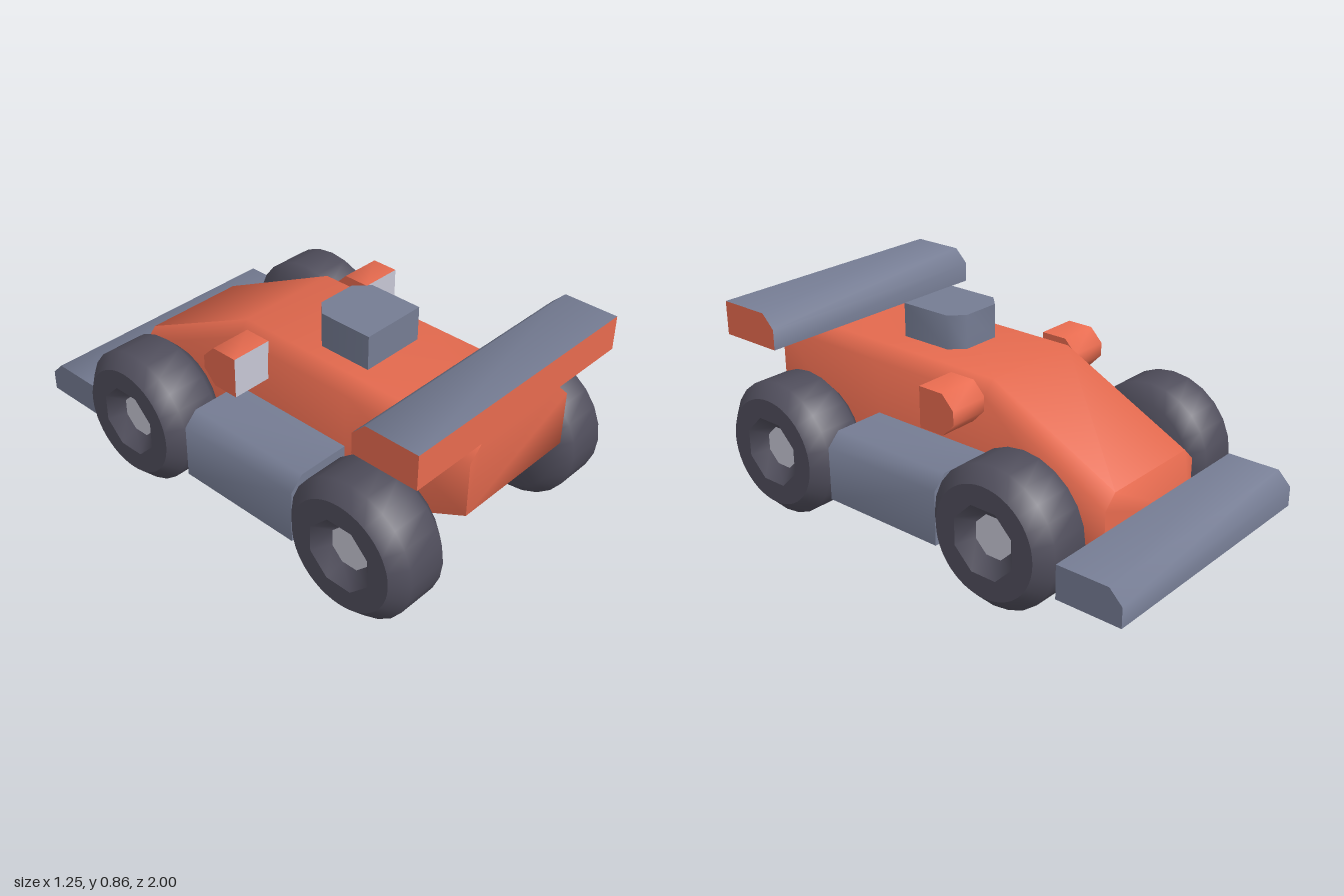
import * as THREE from 'three';
import { toCreasedNormals } from 'three/addons/utils/BufferGeometryUtils.js';

export function createModel() {
  const model = new THREE.Group();
  model.name = 'raceCar';
  const mat = (name, color) => {
    const m = new THREE.MeshStandardMaterial({ color });
    m.name = name;
    return m;
  };
  const orange = mat('orange paint', 0xe76b4f);
  const grey = mat('slate grey', 0x757c93);
  const rubber = mat('dark rubber', 0x504e5c);
  const silver = mat('light silver', 0xc6c6d4);
  const CREASE = 1.12;

  const add = (name, geo, material, parent = model) => {
    const mesh = new THREE.Mesh(geo, material);
    mesh.name = name;
    parent.add(mesh);
    return mesh;
  };
  const shapeOf = (pts) => new THREE.Shape(pts.map(([x, y]) => new THREE.Vector2(x, y)));

  // Side profile of [z, y] points swept across x
  const prismX = (pts, x0, x1) => {
    const geo = new THREE.ExtrudeGeometry(shapeOf(pts.map(([z, y]) => [-z, y])), { depth: x1 - x0, bevelEnabled: false });
    geo.rotateY(Math.PI / 2).translate(x0, 0, 0);
    geo.clearGroups();
    return toCreasedNormals(geo, CREASE);
  };
  // Assign each triangle the second material when its normal meets the rule
  const paint = (geo, rule) => {
    const n = geo.attributes.position.count;
    const p = [0, 1, 2].map(() => new THREE.Vector3());
    const normal = new THREE.Vector3();
    for (let i = 0; i < n; i += 3) {
      p.forEach((v, k) => v.fromBufferAttribute(geo.attributes.position, i + k));
      new THREE.Triangle(...p).getNormal(normal);
      geo.addGroup(i, 3, rule(normal) ? 1 : 0);
    }
    return geo;
  };

  // Body: chamfered section lofted through [z, bottom, top] stations
  const stations = [[1, 0.43, 0.715], [0.43, 0.145, 0.715], [-0.14, 0.145, 0.715], [-0.715, 0.145, 0.43]];
  const pos = [], idx = [];
  for (const [z, b, t] of stations) {
    const section = [[-0.285, b], [0.285, b], [0.285, t - 0.057], [0.228, t], [-0.228, t], [-0.285, t - 0.057]];
    for (const [x, y] of section) pos.push(x, y, z);
  }
  for (let i = 0; i < stations.length - 1; i++) {
    for (let k = 0; k < 6; k++) {
      const a = i * 6 + k, b = i * 6 + (k + 1) % 6;
      idx.push(a, a + 6, b, b, a + 6, b + 6);
    }
  }
  const last = (stations.length - 1) * 6;
  for (let k = 1; k < 5; k++) idx.push(0, k, k + 1, last, last + k + 1, last + k);
  const bodyGeo = new THREE.BufferGeometry();
  bodyGeo.setAttribute('position', new THREE.Float32BufferAttribute(pos, 3));
  bodyGeo.setIndex(idx);
  add('body', toCreasedNormals(bodyGeo, CREASE), orange);

  // High wing with painted ends and outer face
  const wing = prismX([[1, 0.715], [1, 0.858], [0.772, 0.858], [0.715, 0.801], [0.715, 0.715]], -0.57, 0.57);
  add('highWing', paint(wing, (n) => Math.abs(n.x) > 0.9 || n.z > 0.9), [grey, orange]);

  // Low wing at the nose
  add('lowWing', prismX([[-0.715, 0.145], [-0.715, 0.287], [-0.943, 0.287], [-1, 0.23], [-1, 0.145]], -0.57, 0.57), grey);

  // Cockpit block, offset slightly to one side
  const cockpit = new THREE.ExtrudeGeometry(
    shapeOf([[-0.165, -0.43], [0.118, -0.43], [0.118, -0.2], [0.061, -0.143], [-0.108, -0.143], [-0.165, -0.2]]),
    { depth: 0.143, bevelEnabled: false });
  cockpit.rotateX(-Math.PI / 2).translate(0, 0.715, 0);
  add('cockpit', toCreasedNormals(cockpit, CREASE), grey);

  // Side pods and mirrors
  for (const s of [1, -1]) {
    const side = s > 0 ? 'left' : 'right';
    const pod = new THREE.ExtrudeGeometry(
      shapeOf([[0.285, 0.145], [0.57, 0.145], [0.57, 0.373], [0.513, 0.43], [0.285, 0.43]].map(([x, y]) => [s * x, y])),
      { depth: 0.573, bevelEnabled: false });
    pod.translate(0, 0, -0.143);
    add(side + 'SidePod', toCreasedNormals(pod, CREASE), grey);

    const mirror = prismX(
      [[0.03, 0.545], [0.03, 0.715], [-0.085, 0.715], [-0.14, 0.658], [-0.14, 0.602], [-0.085, 0.545]],
      s > 0 ? 0.28 : -0.457, s > 0 ? 0.457 : -0.28);
    add(side + 'Mirror', paint(mirror, (n) => n.z > 0.9), [orange, silver]);
  }

  // Wheel parts, turned so that their axis points along +x
  const lathe = (pts, seg, start = 0) => {
    const geo = new THREE.LatheGeometry(pts.map(([r, h]) => new THREE.Vector2(r, h)), seg, start);
    return toCreasedNormals(geo.rotateZ(-Math.PI / 2), 0.9);
  };
  const tyre = lathe([[0, 0], [0.228, 0], [0.2865, 0.057], [0.2865, 0.226], [0.228, 0.283]], 24);
  const ringShape = new THREE.Shape().absarc(0, 0, 0.228, 0, Math.PI * 2, false);
  const hole = [];
  for (let i = 0; i < 8; i++) {
    const a = (i + 0.5) * Math.PI / 4;
    hole.push(new THREE.Vector2(0.148 * Math.cos(a), 0.148 * Math.sin(a)));
  }
  ringShape.holes.push(new THREE.Path(hole));
  const ring = new THREE.ShapeGeometry(ringShape, 24).rotateY(Math.PI / 2).translate(0.283, 0, 0);
  const recess = lathe([[0.148, 0.283], [0.09, 0.225]], 8, Math.PI / 8);
  const hub = lathe([[0.09, 0.225], [0, 0.225]], 8, Math.PI / 8);

  // Axles and wheels
  for (const [end, z] of [['wide', 0.715], ['nose', -0.428]]) {
    const axle = new THREE.CylinderGeometry(0.071, 0.071, 0.72, 16).rotateZ(Math.PI / 2);
    add(end + 'Axle', axle, grey).position.set(0, 0.2865, z);
    for (const s of [1, -1]) {
      const wheel = new THREE.Group();
      wheel.name = end + (s > 0 ? 'LeftWheel' : 'RightWheel');
      add('tyre', tyre, rubber, wheel);
      add('tyreFace', ring, rubber, wheel);
      add('rimRecess', recess, rubber, wheel);
      add('hub', hub, silver, wheel);
      wheel.position.set(s * 0.343, 0.2865, z);
      if (s < 0) wheel.rotation.y = Math.PI;
      model.add(wheel);
    }
  }
  return model;
}
